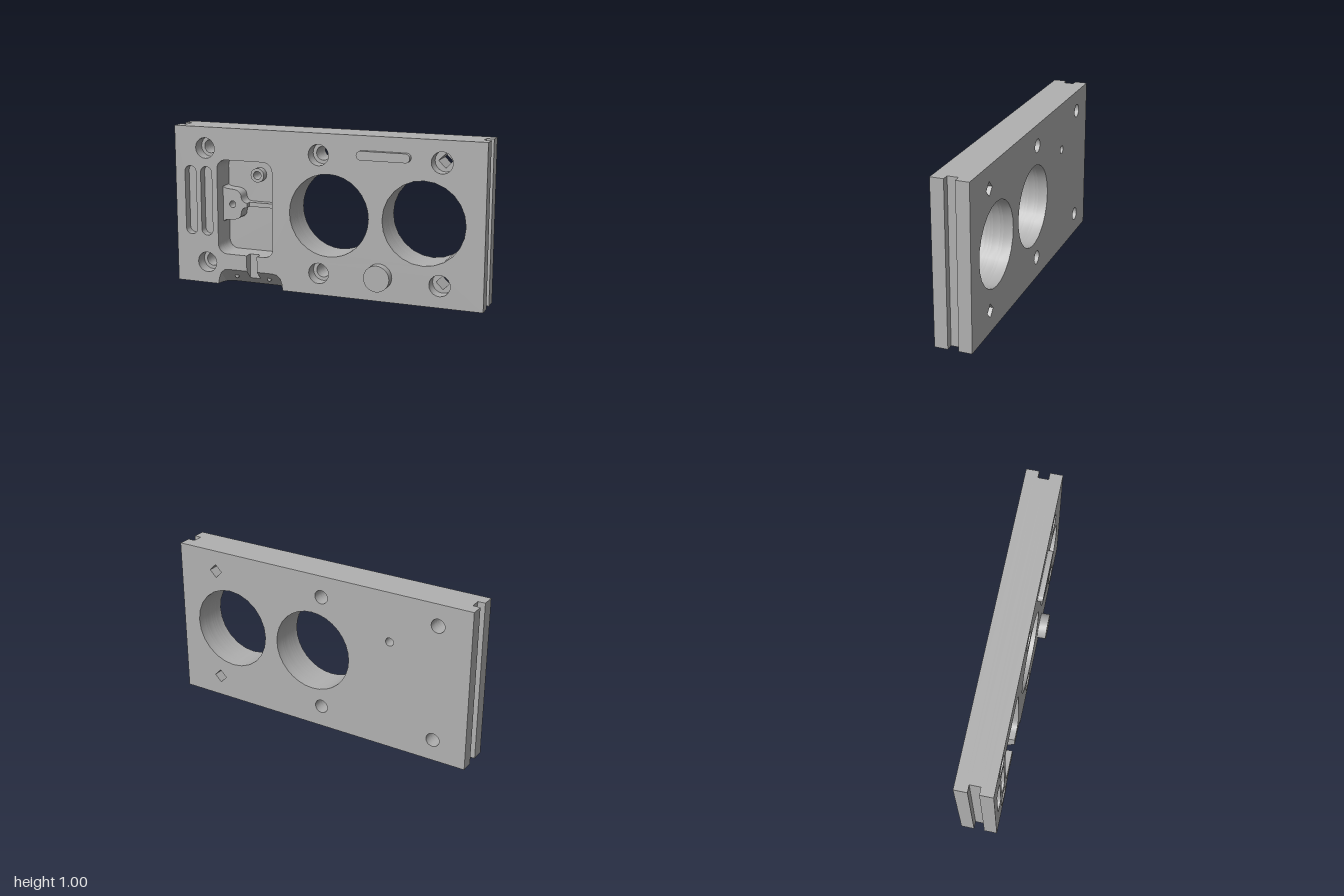
import * as THREE from 'three';
import { toCreasedNormals } from 'three/addons/utils/BufferGeometryUtils.js';

const FRONT = 0.085, BACK = -0.14, POCKET = -0.08, NOTCH = -0.015, CHANNEL = 0.03, BORE = 0.005, RIB = -0.035;
const V = (x, y) => new THREE.Vector2(x, y);

// Closed point loops
function circle(x, y, r, n = 24) {
  return Array.from({ length: n }, (_, i) => {
    const a = (i / n) * Math.PI * 2;
    return V(x + r * Math.cos(a), y + r * Math.sin(a));
  });
}

// Rounded rectangle, clockwise from the lower left corner
function roundRect(x0, y0, x1, y1, r, n = 6) {
  const pts = [];
  const corners = [[x0 + r, y0 + r, 270], [x0 + r, y1 - r, 180], [x1 - r, y1 - r, 90], [x1 - r, y0 + r, 0]];
  for (const [cx, cy, start] of corners) {
    for (let i = 0; i <= n; i++) {
      const a = THREE.MathUtils.degToRad(start - (90 * i) / n);
      pts.push(V(cx + r * Math.cos(a), cy + r * Math.sin(a)));
    }
  }
  return pts;
}

function slab(outline, holes, z0, z1) {
  const shape = new THREE.Shape(outline);
  shape.holes = holes.map((h) => new THREE.Path(h));
  const g = new THREE.ExtrudeGeometry(shape, { depth: z1 - z0, bevelEnabled: false });
  g.translate(0, 0, z0);
  return toCreasedNormals(g, 0.5);
}

const notchLeft = [[-0.715, 0], [-0.708, 0.04], [-0.695, 0.075], [-0.67, 0.095], [-0.64, 0.1], [-0.515, 0.1]];
const notchRight = [[-0.445, 0.1], [-0.34, 0.1], [-0.31, 0.095], [-0.287, 0.075], [-0.275, 0.04], [-0.27, 0]];
const pocket = roundRect(-0.71, 0.2, -0.335, 0.8, 0.06);

// Outline and openings of the plate just in front of depth z
function plateLayer(z0, z1) {
  const e = z0 >= -0.06 && z0 < BORE ? 0.955 : 1;
  const outline = [V(-e, 0)];
  if (z0 >= NOTCH) {
    outline.push(...notchLeft.map((p) => V(...p)));
    if (z0 >= CHANNEL) outline.push(V(-0.515, 0.2), ...pocket, V(-0.445, 0.2));
    outline.push(...notchRight.map((p) => V(...p)));
  }
  outline.push(V(e, 0), V(e, 1), V(-e, 1));

  const holes = [circle(0.035, 0.5, 0.255, 32), circle(0.63, 0.5, 0.255, 24)];
  for (const x of [-0.79, -0.03, 0.735]) {
    for (const y of [0.135, 0.867]) {
      holes.push(z0 >= BORE ? circle(x, y, 0.065, 20) : circle(x, y, 0.043, x > 0.5 ? 4 : 16));
    }
  }
  if (z0 < POCKET) holes.push(circle(-0.49, 0.693, 0.026, 16));
  else if (z0 < CHANNEL) holes.push(pocket);
  if (z0 >= CHANNEL) {
    holes.push(roundRect(-0.935, 0.31, -0.857, 0.75, 0.038));
    holes.push(roundRect(-0.825, 0.31, -0.747, 0.75, 0.038));
  }
  return slab(outline, holes, z0, z1);
}

// Sloping underside of the notch, interrupted by the channel
function notchSlope() {
  const lip = CHANNEL - NOTCH;
  const column = ([x, y]) => [[x, y, FRONT], [x, y * 0.45, FRONT - y * 0.55], [x, 0, FRONT - y], [x, 0, NOTCH]];
  const cut = (x) => [[x, 0.1, CHANNEL], [x, lip, CHANNEL], [x, 0, NOTCH], [x, 0, NOTCH]];
  const cols = [...notchLeft.map(column), cut(-0.515), cut(-0.445), ...notchRight.map(column)];
  const pos = [];
  for (let i = 0; i < cols.length - 1; i++) {
    for (let k = 0; k < 3; k++) {
      const a = cols[i][k], b = cols[i][k + 1], c = cols[i + 1][k + 1], d = cols[i + 1][k];
      pos.push(...a, ...b, ...d, ...b, ...c, ...d);
    }
  }
  const g = new THREE.BufferGeometry();
  g.setAttribute('position', new THREE.Float32BufferAttribute(pos, 3));
  g.computeVertexNormals();
  return g;
}

export function createModel() {
  const model = new THREE.Group();
  model.name = 'mountingPlate';
  const grey = new THREE.MeshStandardMaterial({ color: 0xb0b0b0 });
  grey.name = 'plateGrey';
  const add = (name, geometry, parent = model) => {
    const mesh = new THREE.Mesh(geometry, grey);
    mesh.name = name;
    parent.add(mesh);
    return mesh;
  };

  // Plate with side grooves, stacked through its depth
  const plate = new THREE.Group();
  plate.name = 'plate';
  model.add(plate);
  const depths = [BACK, POCKET, -0.06, NOTCH, BORE, CHANNEL, FRONT];
  for (let i = 0; i < depths.length - 1; i++) {
    add('plateLayer', plateLayer(depths[i], depths[i + 1]), plate);
  }
  add('notchSlope', notchSlope(), plate);

  // Small pins on the notch slope
  for (const x of [-0.605, -0.38]) add('notchPin', slab(circle(x, 0.05, 0.013, 12), [], 0.01, 0.042));

  // Pocket details: hollow boss, cross rib and drilled tab
  add('pocketBoss', slab(circle(-0.49, 0.693, 0.045), [circle(-0.49, 0.693, 0.026, 16)], POCKET, RIB));
  add('pocketRib', slab([V(-0.6, 0.49), V(-0.335, 0.49), V(-0.335, 0.518), V(-0.6, 0.518)], [], POCKET, RIB));
  const tab = new THREE.Shape();
  tab.moveTo(-0.71, 0.39);
  tab.quadraticCurveTo(-0.7, 0.405, -0.66, 0.405);
  tab.quadraticCurveTo(-0.585, 0.405, -0.585, 0.455);
  tab.quadraticCurveTo(-0.58, 0.49, -0.545, 0.49);
  tab.lineTo(-0.545, 0.518);
  tab.quadraticCurveTo(-0.58, 0.52, -0.585, 0.555);
  tab.quadraticCurveTo(-0.585, 0.603, -0.66, 0.603);
  tab.quadraticCurveTo(-0.7, 0.603, -0.71, 0.618);
  add('pocketTab', slab(tab.getPoints(6), [circle(-0.645, 0.505, 0.022, 14)], POCKET, BORE));

  // Raised details on the front face
  add('raisedBar', slab(roundRect(0.22, 0.857, 0.55, 0.912, 0.027), [], FRONT, 0.117));
  add('roundButton', slab(circle(0.36, 0.153, 0.081, 28), [], FRONT, 0.14));

  return model;
}
